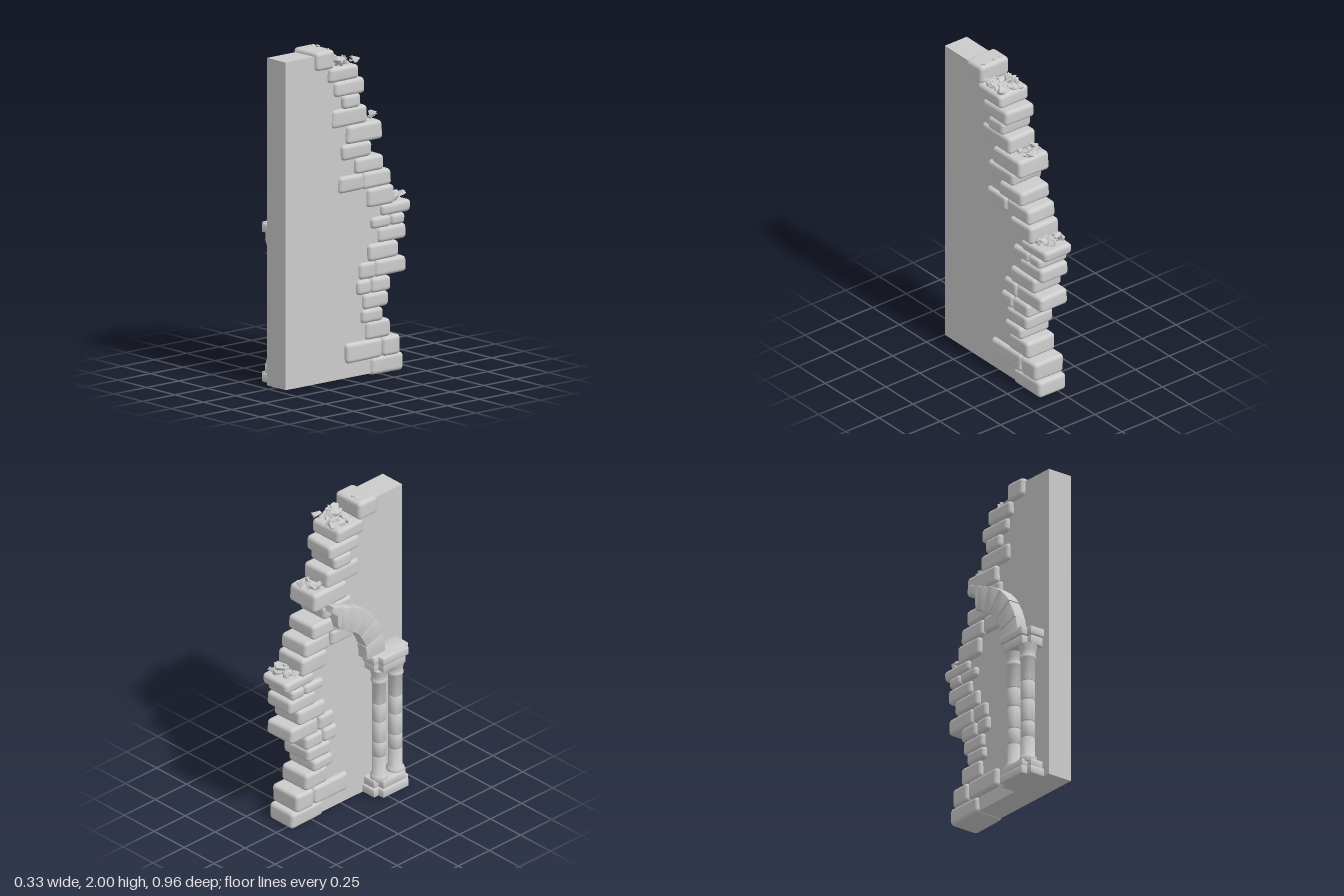
import * as THREE from 'three';
import { mergeVertices, toCreasedNormals } from 'three/addons/utils/BufferGeometryUtils.js';
import { RoundedBoxGeometry } from 'three/addons/geometries/RoundedBoxGeometry.js';
import { ConvexGeometry } from 'three/addons/geometries/ConvexGeometry.js';

const grey = new THREE.MeshStandardMaterial({ color: 0xcccccc });
const greyFlat = new THREE.MeshStandardMaterial({ color: 0xcccccc, flatShading: true });

// Seeded random in the range -1 to 1
let seed = 7;
function rnd() {
  seed = (seed * 16807) % 2147483647;
  return (seed / 2147483647) * 2 - 1;
}

function add(parent, name, geometry, material = grey) {
  const mesh = new THREE.Mesh(geometry, material);
  mesh.name = name;
  parent.add(mesh);
  return mesh;
}

// Worn stone: a rounded box, slightly tapered and sheared
function stoneGeometry(w, h, d, radius = 0.024) {
  let g = new RoundedBoxGeometry(w, h, d, 3, Math.min(radius, h * 0.35));
  g.deleteAttribute('normal');
  g.deleteAttribute('uv');
  g = mergeVertices(g, 1e-4);
  const p = g.attributes.position;
  const [a, b, c, e] = [rnd(), rnd(), rnd(), rnd()];
  for (let i = 0; i < p.count; i++) {
    const x = p.getX(i) / w, y = p.getY(i) / h, z = p.getZ(i) / d;
    p.setXYZ(i,
      p.getX(i) * (1 + 0.05 * a * y + 0.04 * b * z),
      p.getY(i) * (1 + 0.08 * c * z + 0.08 * e * x),
      p.getZ(i) * (1 + 0.06 * b * y + 0.06 * c * x));
  }
  g.computeVertexNormals();
  return g;
}

// Extrude an outline of [z, y] points along x
function extrudeAcross(points, x0, x1, bevel = 0) {
  const shape = new THREE.Shape(points.map(([z, y]) => new THREE.Vector2(-z, y)));
  const g = new THREE.ExtrudeGeometry(shape, {
    depth: x1 - x0 - 2 * bevel, bevelEnabled: bevel > 0,
    bevelSize: bevel, bevelOffset: -bevel, bevelThickness: bevel, bevelSegments: 2,
  });
  g.rotateY(Math.PI / 2);
  g.translate(x0 + bevel, 0, 0);
  return toCreasedNormals(g, 0.7);
}

// Heap of angular fragments
function rubble(parent, name, count, x, y, z, rx, rz, size) {
  const group = new THREE.Group();
  group.name = name;
  for (let i = 0; i < count; i++) {
    const s = size * (0.8 + 0.35 * rnd());
    const pts = [];
    for (let k = 0; k < 9; k++) {
      const v = new THREE.Vector3(rnd(), rnd(), rnd()).normalize();
      pts.push(v.multiply(new THREE.Vector3(s, s * 0.7, s)));
    }
    const m = add(group, 'fragment', new ConvexGeometry(pts), greyFlat);
    m.position.set(x + rx * rnd(), y + size * 0.35 * rnd(), z + rz * rnd());
  }
  parent.add(group);
}

// Courses of the broken edge: [yBottom, yTop, z boundaries from front to back]
const courses = [
  [0.0, 0.105, -0.17, -0.42], [0.1, 0.217, 0.025, -0.25, -0.39],
  [0.215, 0.325, -0.13, -0.315], [0.32, 0.4, -0.095, -0.255],
  [0.4, 0.49, -0.11, -0.3], [0.49, 0.58, -0.06, -0.17, -0.315],
  [0.58, 0.68, -0.08, -0.205, -0.435], [0.68, 0.78, -0.15, -0.375],
  [0.78, 0.87, -0.225, -0.44], [0.87, 0.937, -0.17, -0.32, -0.425],
  [0.935, 1.005, -0.245, -0.475], [1.0, 1.115, -0.14, -0.345],
  [1.115, 1.217, 0.075, -0.11, -0.32], [1.215, 1.31, -0.045, -0.26],
  [1.31, 1.4, 0.055, -0.17], [1.4, 1.515, 0.02, -0.25],
  [1.51, 1.62, 0.125, -0.14], [1.615, 1.7, 0.055, -0.085],
  [1.695, 1.785, 0.115, -0.12], [1.785, 1.875, 0.155, -0.065],
  [1.87, 1.985, 0.26, 0.115],
];

function createEdgeStones() {
  const group = new THREE.Group();
  group.name = 'edgeStones';
  courses.forEach(([y0, y1, ...zs], row) => {
    for (let i = 0; i < zs.length - 1; i++) {
      const width = 0.205 + 0.01 * (row % 2) + 0.006 * rnd();
      const m = add(group, 'edgeStone', stoneGeometry(width, y1 - y0, zs[i] - zs[i + 1]));
      m.position.set(0.047, (y0 + y1) / 2, (zs[i] + zs[i + 1]) / 2);
    }
  });
  return group;
}

// Slab with a cross-shaped plan, used in plinth and capital
function crossSlab(parent, name, y0, y1, inset) {
  const b = 0.007, i = inset;
  const half = [[-0.02, 0.137 - i], [-0.13 + i, 0.137 - i], [-0.13 + i, 0.102 - i], [-0.17 + i, 0.102 - i]];
  const outline = [...half, ...half.slice().reverse().map(([x, z]) => [x, -z])];
  const shape = new THREE.Shape(outline.map(([x, z]) => new THREE.Vector2(x, z)));
  const g = new THREE.ExtrudeGeometry(shape, {
    depth: y1 - y0 - 2 * b, bevelSize: b, bevelOffset: -b, bevelThickness: b, bevelSegments: 2,
  });
  g.rotateX(-Math.PI / 2);
  g.translate(0, y0 + b, 0.298);
  add(parent, name, toCreasedNormals(g, 0.7));
}

function createColumns() {
  const group = new THREE.Group();
  group.name = 'twinColumns';
  crossSlab(group, 'plinth', 0.01, 0.062, 0);
  crossSlab(group, 'plinthStep', 0.06, 0.112, 0.012);
  crossSlab(group, 'capitalBlock', 0.845, 0.905, 0.014);
  crossSlab(group, 'abacus', 0.9, 0.952, 0);

  // Shaft profile: base ring, grooved drums, neck ring, flared bell
  const r = 0.042;
  const profile = [[0, 0.1], [0.05, 0.1], [0.054, 0.115], [0.053, 0.13], [0.045, 0.14], [r, 0.145]];
  for (const y of [0.26, 0.36, 0.5, 0.62]) {
    profile.push([r, y - 0.006], [r - 0.004, y], [r, y + 0.006]);
  }
  profile.push([r, 0.755], [0.048, 0.762], [0.05, 0.772], [0.046, 0.782],
    [0.044, 0.79], [0.048, 0.815], [0.058, 0.85], [0, 0.85]);
  for (const z of [0.234, 0.364]) {
    const g = new THREE.LatheGeometry(profile.map(([x, y]) => new THREE.Vector2(x, y)), 20);
    add(group, 'columnShaft', toCreasedNormals(g, 0.8)).position.set(-0.095, 0, z);
  }
  return group;
}

// Broken arch springing from the capital
function createArch() {
  const group = new THREE.Group();
  group.name = 'brokenArch';
  const at = (radius, deg) => {
    const a = THREE.MathUtils.degToRad(deg);
    return [-0.17 + radius * Math.cos(a), 0.95 + radius * Math.sin(a)];
  };
  const joints = [-1, 17, 34, 50, 66, 78];
  for (let i = 0; i < joints.length - 1; i++) {
    const a0 = joints[i], a1 = joints[i + 1] - 0.3, am = (a0 + a1) / 2;
    const outer = 0.45 + 0.004 * rnd(), inner = 0.3 + 0.006 * rnd();
    const pts = [at(outer, a0), at(outer, am), at(outer, a1), at(inner, a1), at(inner, am), at(inner, a0)];
    add(group, 'archStone', extrudeAcross(pts, -0.105 - 0.002 * i, -0.025, 0.006));
  }
  // Ragged last stone
  const tip = [at(0.455, 77), at(0.475, 87.5), at(0.43, 88), at(0.4, 82), at(0.34, 80), at(0.31, 77)];
  add(group, 'archTip', extrudeAcross(tip, -0.113, -0.025, 0.006));
  return group;
}

export function createModel() {
  const model = new THREE.Group();
  model.name = 'ruinedWall';

  // Flat wall slab with its back edge hidden inside the stones
  const wall = [
    [0.48, 0.012], [-0.35, 0.012], [-0.33, 0.17], [-0.26, 0.25], [-0.2, 0.36], [-0.24, 0.45],
    [-0.25, 0.55], [-0.31, 0.72], [-0.36, 0.84], [-0.36, 0.96], [-0.28, 1.05], [-0.24, 1.17],
    [-0.18, 1.27], [-0.12, 1.36], [-0.14, 1.46], [-0.07, 1.57], [-0.04, 1.66], [-0.04, 1.75],
    [0.0, 1.84], [0.14, 1.86], [0.16, 1.96], [0.48, 1.96],
  ];
  add(model, 'wall', extrudeAcross(wall, -0.033, 0.13));

  model.add(createEdgeStones(), createColumns(), createArch());

  // Rubble on the exposed ledges
  rubble(model, 'topRubble', 30, 0.055, 1.895, 0.02, 0.085, 0.075, 0.034);
  rubble(model, 'middleRubble', 14, 0.045, 1.53, -0.2, 0.06, 0.042, 0.03);
  rubble(model, 'lowerRubble', 24, 0.05, 1.03, -0.4, 0.075, 0.045, 0.034);
  for (const x of [-0.005, 0.03, 0.12]) {
    rubble(model, 'pebble', 1, x, 1.985, 0.145, 0.003, 0.004, 0.015);
  }
  return model;
}
